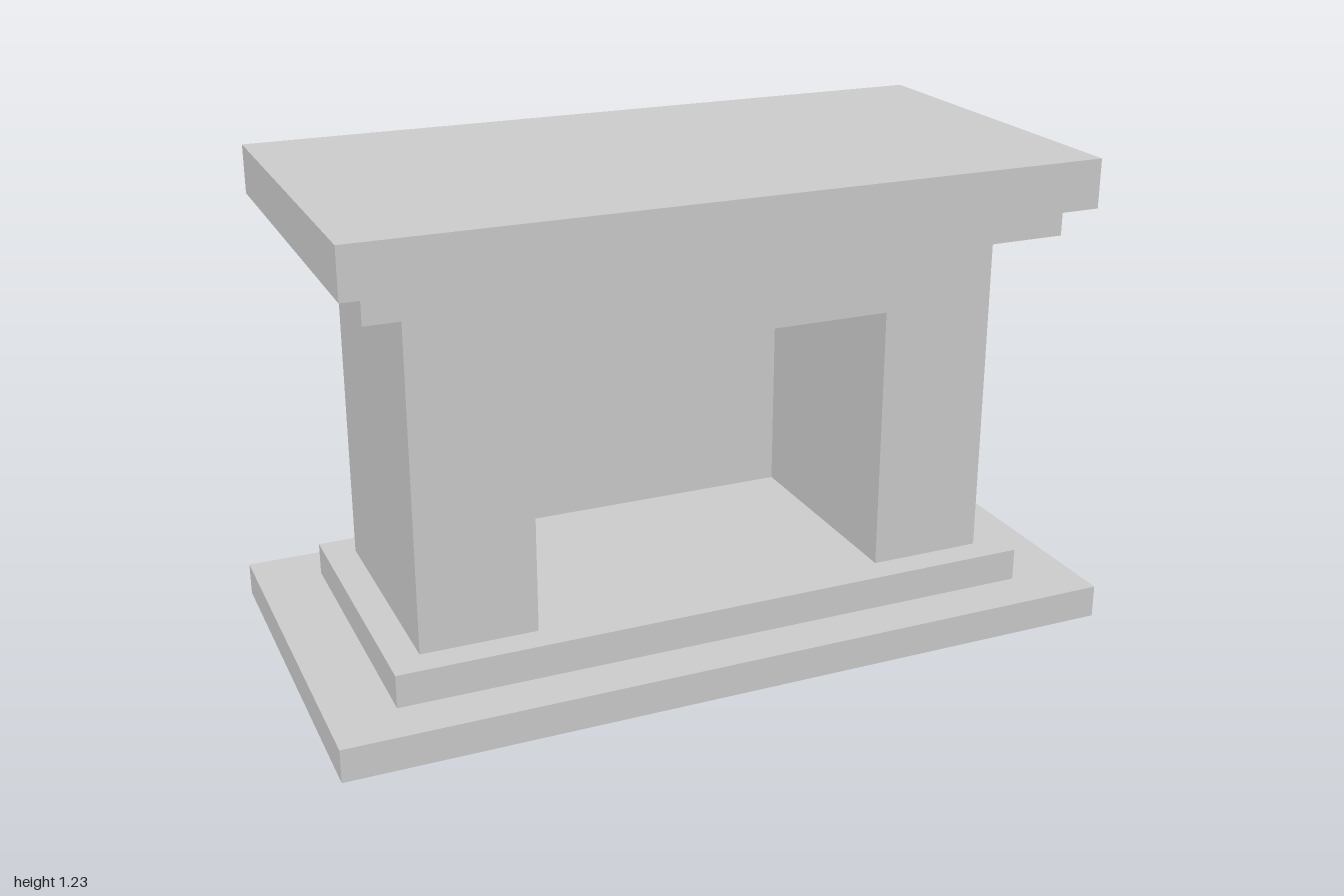
import * as THREE from 'three';

const X = -0.003; // everything above the hearth sits slightly off centre

export function createModel() {
  const model = new THREE.Group();
  model.name = 'fireplace';
  const grey = new THREE.MeshStandardMaterial({ color: 0xcccccc, flatShading: true });
  const greyThin = grey.clone();
  greyThin.side = THREE.DoubleSide;

  const add = (name, geometry, material, x, y, z) => {
    const mesh = new THREE.Mesh(geometry, material);
    mesh.name = name;
    mesh.position.set(x, y, z);
    model.add(mesh);
  };

  // Stacked slabs: name, width, depth, bottom, top, x
  const slabs = [
    ['hearthBase', 2, 1, 0, 0.084, 0],
    ['hearthStep', 1.664, 0.752, 0.084, 0.168, X],
    ['mantelMoulding', 1.737, 0.838, 1.028, 1.104, X],
    ['mantelShelf', 1.854, 0.954, 1.104, 1.227, X],
  ];
  for (const [name, w, d, y0, y1, x] of slabs) {
    add(name, new THREE.BoxGeometry(w, y1 - y0, d), grey, x, (y0 + y1) / 2, 0);
  }

  // Surround: two piers and a lintel in one arch-shaped outline
  const y0 = 0.168, h = 0.86, halfW = 0.753, openW = 0.459, openH = 0.68, depth = 0.602;
  const outline = new THREE.Shape([
    [-halfW, 0], [-openW, 0], [-openW, openH], [openW, openH],
    [openW, 0], [halfW, 0], [halfW, h], [-halfW, h],
  ].map(([x, y]) => new THREE.Vector2(x, y)));
  const surround = new THREE.ExtrudeGeometry(outline, { depth, bevelEnabled: false });
  add('surround', surround, grey, X, y0, -depth / 2);

  // Thin panel closing the firebox flush with the back of the surround
  add('fireboxBack', new THREE.PlaneGeometry(openW * 2, openH), greyThin, X, y0 + openH / 2, -depth / 2);

  return model;
}
